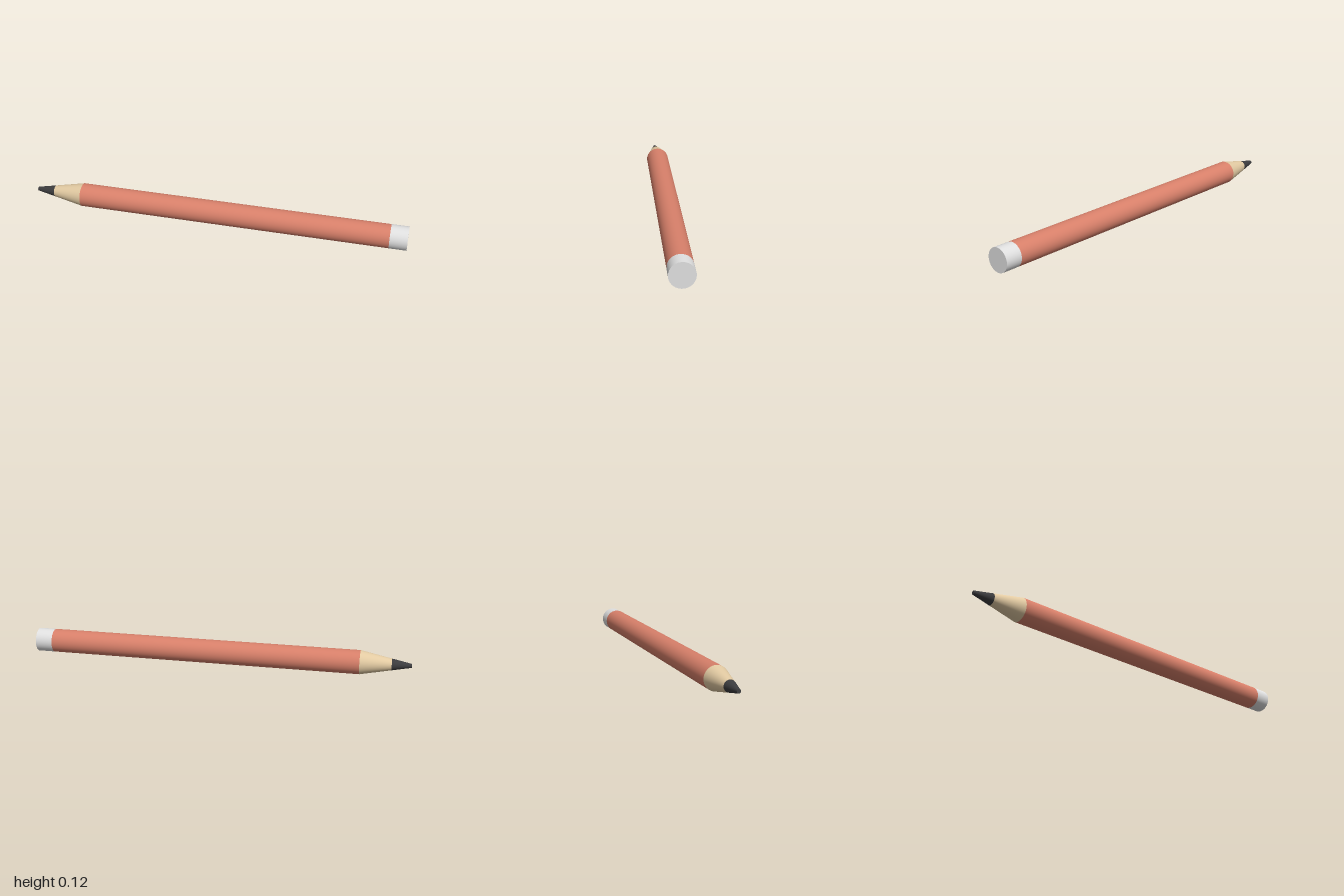
import * as THREE from 'three';

export function createModel() {
  const group = new THREE.Group();
  group.name = 'pencil';

  const makeMaterial = (name, color) => {
    const m = new THREE.MeshStandardMaterial({ color });
    m.name = name;
    return m;
  };
  const graphite = makeMaterial('graphite', 0x3c3c3e);
  const wood = makeMaterial('wood', 0xe2caa2);
  const paint = makeMaterial('coral paint', 0xd8806a);
  const white = makeMaterial('white', 0xe0e0e0);

  const R = 0.062;

  // Smooth round section along x, with an optional flat end disc facing -x or +x
  function addSection(name, material, x0, r0, x1, r1, endDisc = 0) {
    const part = new THREE.Group();
    part.name = name;
    const side = new THREE.CylinderGeometry(r1, r0, x1 - x0, 64, 1, true);
    side.rotateZ(-Math.PI / 2);
    side.translate((x0 + x1) / 2, R, 0);
    const wall = new THREE.Mesh(side, material);
    wall.name = name + 'Side';
    part.add(wall);
    if (endDisc) {
      const disc = new THREE.CircleGeometry(endDisc > 0 ? r1 : r0, 64);
      disc.rotateY(endDisc * Math.PI / 2);
      disc.translate(endDisc > 0 ? x1 : x0, R, 0);
      const end = new THREE.Mesh(disc, material);
      end.name = name + 'End';
      part.add(end);
    }
    group.add(part);
  }

  // From the blunt writing point to the flat end
  addSection('leadTip', graphite, -1, 0.01, -0.9, 0.03, -1);
  addSection('sharpenedWood', wood, -0.9, 0.03, -0.74, R);
  addSection('barrel', paint, -0.74, R, 0.91, R);
  addSection('endCap', white, 0.91, R, 1, R, 1);

  return group;
}
